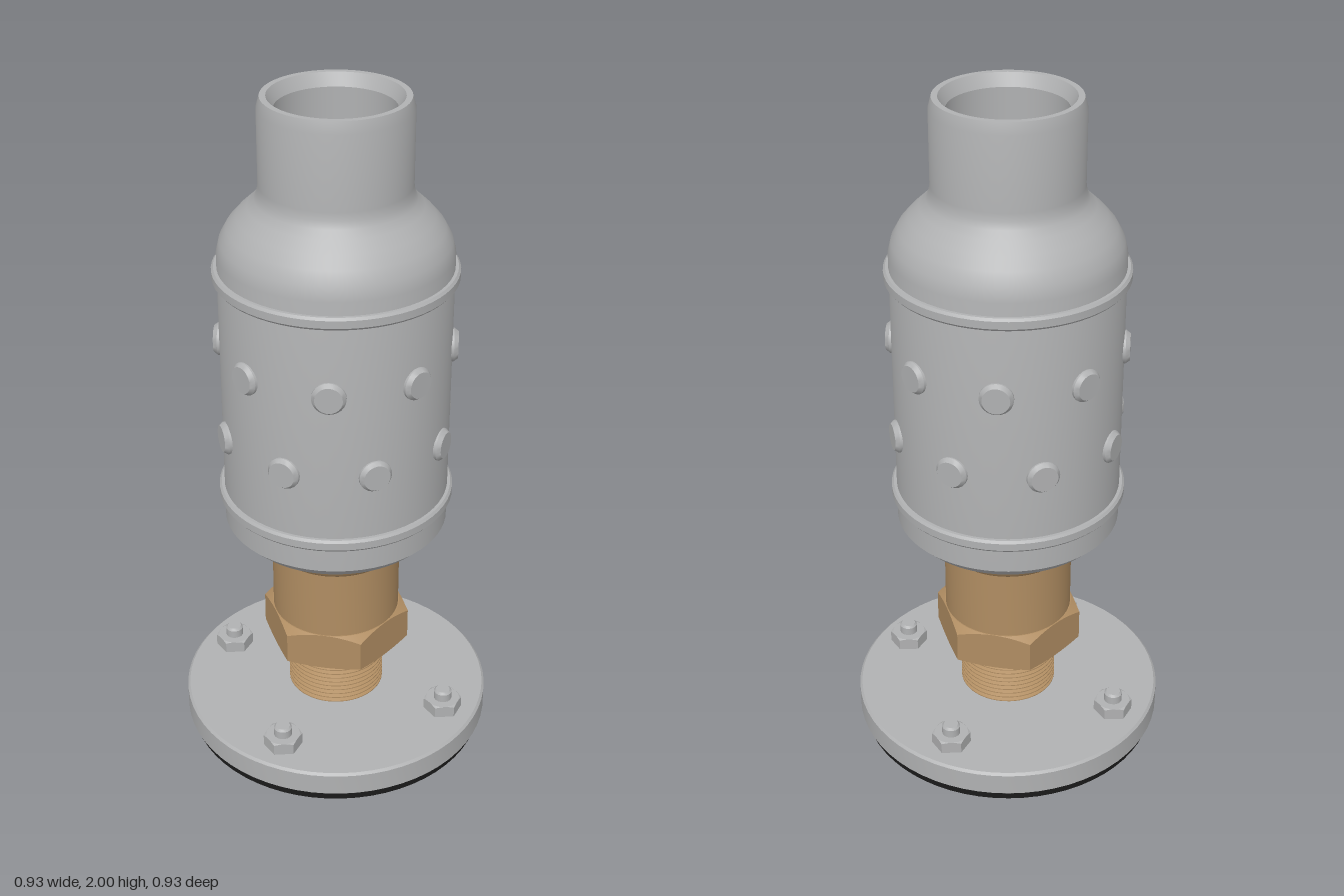
import * as THREE from 'three';
import { toCreasedNormals } from 'three/addons/utils/BufferGeometryUtils.js';

const material = (name, color) => {
  const m = new THREE.MeshStandardMaterial({ color });
  m.name = name;
  return m;
};

export function createModel() {
  const steel = material('steel grey', 0xb0b1b2);
  const brass = material('brass', 0xb08d62);
  const rubber = material('black rubber', 0x1a1a1a);
  const model = new THREE.Group();

  const add = (name, geometry, mat, parent = model) => {
    const mesh = new THREE.Mesh(toCreasedNormals(geometry, 0.45), mat);
    mesh.name = name;
    parent.add(mesh);
    return mesh;
  };
  // Turned part from [radius, height] pairs, listed bottom to top
  const turned = (pairs, segments = 64) =>
    new THREE.LatheGeometry(pairs.map(([r, y]) => new THREE.Vector2(r, y)), segments);

  // Hexagon with conical chamfers; a = half the width across flats
  const hexNut = (a, y0, y1, bottomSlope, topSlope) => {
    const g = turned([[0, y0], [a, y0], [a + 1, y0], [a + 1, y1], [a, y1], [0, y1]], 48);
    const p = g.attributes.position;
    for (let i = 0; i < p.count; i++) {
      const x = p.getX(i), z = p.getZ(i), y = p.getY(i);
      if (Math.hypot(x, z) < a + 0.5) continue;
      const angle = (Math.floor(i / 6) % 48) * Math.PI / 24;
      const r = a / Math.cos((angle % (Math.PI / 3)) - Math.PI / 6);
      const drop = r - a;
      p.setXYZ(i, Math.sin(angle) * r, y === p.getY(0) ? y + drop * bottomSlope : y - drop * topSlope, Math.cos(angle) * r);
    }
    return g;
  };

  // Base: rubber gasket and steel flange
  add('gasket', turned([[0, 0], [0.452, 0], [0.452, 0.026], [0, 0.026]]), rubber);
  add('flange', turned([[0, 0.025], [0.458, 0.025], [0.465, 0.032], [0.465, 0.098], [0.458, 0.105], [0, 0.105]]), steel);

  // Four bolts around the flange
  for (const sx of [-1, 1]) for (const sz of [-1, 1]) {
    const bolt = new THREE.Group();
    bolt.name = 'flangeBolt';
    bolt.position.set(sx * 0.256, 0.105, sz * 0.257);
    bolt.rotation.y = 0.26;
    add('nut', hexNut(0.05, 0, 0.038, 0, 0.6), steel, bolt);
    add('boltEnd', turned([[0, 0.03], [0.027, 0.03], [0.027, 0.063], [0.021, 0.07], [0, 0.07]], 16), steel, bolt);
    model.add(bolt);
  }

  // Threaded brass pipe
  const thread = [[0, 0.1], [0.132, 0.1]];
  const turns = 12, pitch = 0.18 / turns;
  for (let i = 0; i < turns; i++) {
    const y = 0.105 + i * pitch;
    thread.push([0.132, y], [0.145, y + pitch * 0.4], [0.145, y + pitch * 0.6]);
  }
  thread.push([0.132, 0.29], [0, 0.29]);
  add('threadedPipe', turned(thread, 48), brass);

  // Brass coupling
  add('hexCollar', hexNut(0.193, 0.28, 0.4, 0.3, 0.58), brass);
  add('couplingBody', turned([
    [0, 0.39], [0.19, 0.39], [0.19, 0.615], [0.2, 0.625], [0.205, 0.635],
    [0.205, 0.72], [0, 0.72],
  ]), brass);

  // Outer shell with shoulder, neck and open bore
  add('shell', turned([
    [0.16, 0.695], [0.29, 0.695], [0.325, 0.73], [0.325, 1.565], [0.316, 1.602],
    [0.296, 1.638], [0.268, 1.67], [0.238, 1.698], [0.219, 1.718], [0.211, 1.738],
    [0.208, 1.76], [0.208, 1.968], [0.199, 2], [0.182, 2], [0.163, 1.965], [0.163, 0.695],
  ]), steel);

  // Raised bands near both ends of the shell
  for (const y of [0.822, 1.508]) {
    add('band', turned([
      [0.32, y - 0.018], [0.334, y - 0.018], [0.34, y - 0.011],
      [0.34, y + 0.011], [0.334, y + 0.018], [0.32, y + 0.018],
    ]), steel);
  }

  // Two staggered rows of eight round buttons
  const button = turned([[0.047, 0.28], [0.047, 0.329], [0.038, 0.341], [0, 0.341]], 24);
  button.rotateX(Math.PI / 2);
  for (const [y, offset] of [[1.035, 0], [1.285, 0.5]]) {
    for (let i = 0; i < 8; i++) {
      const b = add('button', button, steel);
      b.position.y = y;
      b.rotation.y = (i + offset) * Math.PI / 4;
    }
  }
  return model;
}
